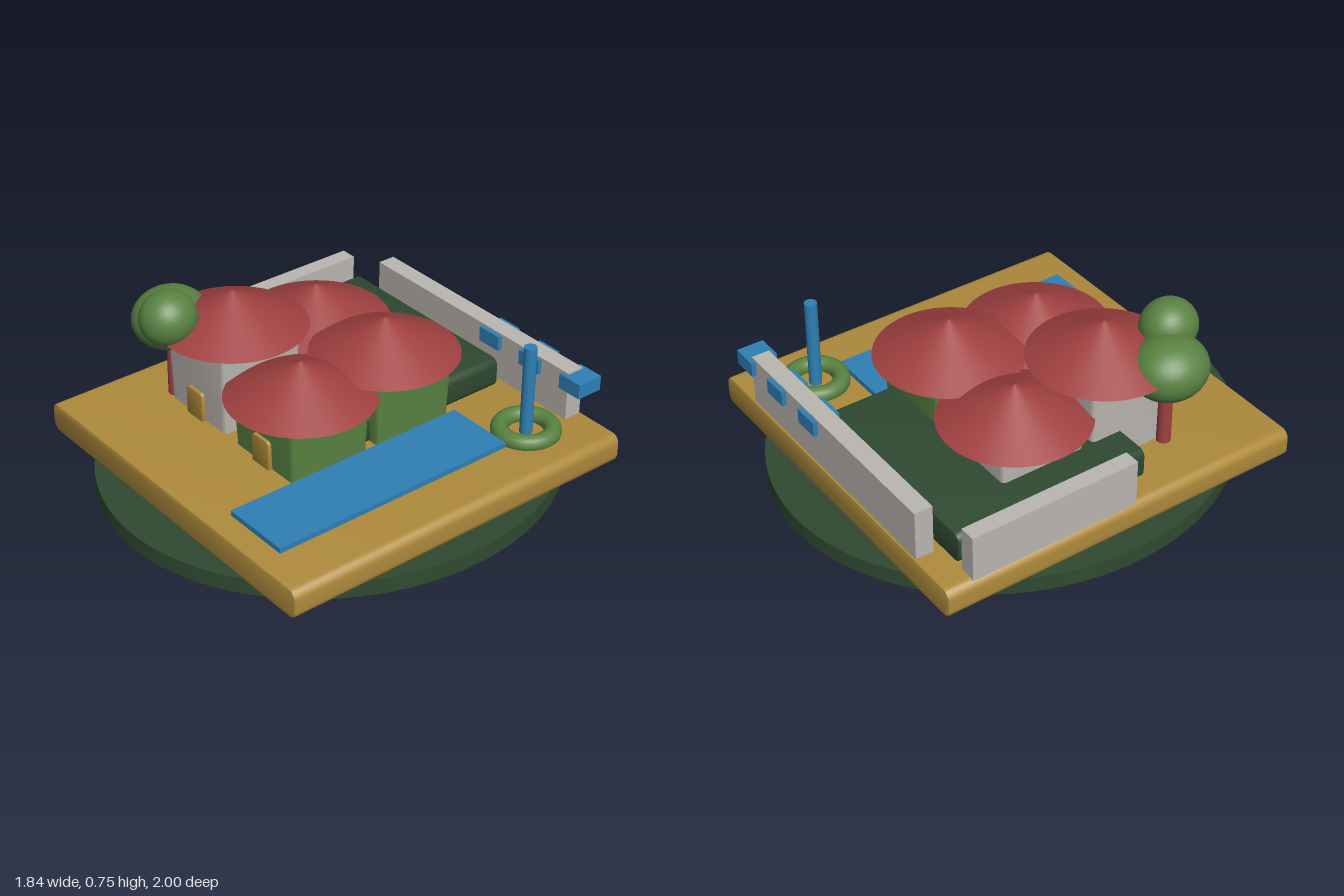
import * as THREE from 'three';
import { toCreasedNormals } from 'three/addons/utils/BufferGeometryUtils.js';

const paint = (name, color) => {
  const m = new THREE.MeshStandardMaterial({ color });
  m.name = name;
  return m;
};

// Rounded rectangle centred on the origin
function roundedRect(w, h, r) {
  const s = new THREE.Shape();
  const x = w / 2, y = h / 2;
  s.moveTo(-x + r, -y);
  s.absarc(x - r, -y + r, r, -Math.PI / 2, 0);
  s.absarc(x - r, y - r, r, 0, Math.PI / 2);
  s.absarc(-x + r, y - r, r, Math.PI / 2, Math.PI);
  s.absarc(-x + r, -y + r, r, Math.PI, Math.PI * 1.5);
  return s;
}

// Block with rounded long edges along z and a small bevel on both ends
function softBlock(w, h, d, r, bevel) {
  const g = new THREE.ExtrudeGeometry(roundedRect(w - 2 * bevel, h - 2 * bevel, r), {
    depth: d - 2 * bevel, bevelThickness: bevel, bevelSize: bevel, bevelSegments: 2, curveSegments: 6,
  });
  g.translate(0, 0, -d / 2 + bevel);
  return toCreasedNormals(g, 0.6);
}

// House wall: rounded square prism, a little wider at the eaves
function wallGeometry(size, height) {
  const g = new THREE.ExtrudeGeometry(roundedRect(size, size, 0.02), {
    depth: height, bevelEnabled: false, curveSegments: 4,
  });
  g.rotateX(-Math.PI / 2);
  const p = g.attributes.position;
  for (let i = 0; i < p.count; i++) {
    const k = 0.97 + 0.05 * (p.getY(i) / height);
    p.setX(i, p.getX(i) * k);
    p.setZ(i, p.getZ(i) * k);
  }
  return toCreasedNormals(g, 0.6);
}

export function createModel() {
  const model = new THREE.Group();
  model.name = 'courtyardVillage';

  const tan = paint('sandstone', 0xae8a3c);
  const red = paint('roofRed', 0xa04040);
  const green = paint('leafGreen', 0x598242);
  const dark = paint('darkGreen', 0x2f4a31);
  const blue = paint('waterBlue', 0x2e80b5);
  const grey = paint('wallGrey', 0xbab6b0);

  const add = (name, geometry, material, x, y, z, parent = model) => {
    const m = new THREE.Mesh(geometry, material);
    m.name = name;
    m.position.set(x, y, z);
    parent.add(m);
    return m;
  };
  // Box given by its limits on each axis
  const box = (name, mat, [x0, x1], [y0, y1], [z0, z1]) =>
    add(name, new THREE.BoxGeometry(x1 - x0, y1 - y0, z1 - z0), mat,
      (x0 + x1) / 2, (y0 + y1) / 2, (z0 + z1) / 2);

  const ground = 0.19;

  // Oval base and square terrace
  add('ovalBase', new THREE.CylinderGeometry(1, 1, 0.07, 96), dark, 0, 0.035, 0).scale.x = 0.92;
  add('terrace', softBlock(1.65, 0.13, 1.66, 0.03, 0.01), tan, 0, 0.125, 0);

  // Raised garden bed
  add('gardenBed', softBlock(0.935, 0.135, 0.88, 0.025, 0.008), dark, -0.238, 0.249, -0.262);

  // Boundary walls with blue niches
  box('leftWall', grey, [-0.81, -0.738], [0.18, 0.387], [-0.71, 0.055]);
  box('backWall', grey, [-0.595, 0.6], [0.18, 0.41], [-0.82, -0.74]);
  for (const x of [0.148, 0.388, 0.628]) {
    box('wallNiche', blue, [x - 0.058, x + 0.058], [0.337, 0.403], [-0.84, -0.72]);
  }

  // Pool
  box('pool', blue, [0.29, 0.6], [0.18, 0.213], [-0.41, 0.725]);

  // Fountain ring and column
  const ring = add('fountainRing', new THREE.TorusGeometry(0.109, 0.037, 16, 48), green, 0.565, 0.204, -0.553);
  ring.rotation.x = Math.PI / 2;
  add('fountainColumn', new THREE.CylinderGeometry(0.027, 0.027, 0.4, 24), blue, 0.565, 0.39, -0.553);

  // Four houses with conical roofs: x, z, eaves height, wall colour, door
  const houses = [
    ['frontLeftHouse', -0.36, 0.228, 0.557, grey, true],
    ['backLeftHouse', -0.36, -0.2, 0.435, grey, false],
    ['backRightHouse', 0.088, -0.2, 0.48, green, false],
    ['frontRightHouse', 0.088, 0.228, 0.437, green, true],
  ];
  for (const [name, x, z, eaves, wall, hasDoor] of houses) {
    const house = new THREE.Group();
    house.name = name;
    house.position.set(x, 0, z);
    model.add(house);
    add('walls', wallGeometry(0.385, eaves - ground + 0.01), wall, 0, ground - 0.005, 0, house);
    add('roof', new THREE.ConeGeometry(0.312, 0.158, 48), red, 0, eaves + 0.079, 0, house);
    if (hasDoor) {
      add('door', softBlock(0.108, 0.14, 0.06, 0.012, 0.004), tan, 0, 0.25, 0.176, house);
    }
  }

  // Tree
  const tree = new THREE.Group();
  tree.name = 'tree';
  model.add(tree);
  add('trunk', new THREE.CylinderGeometry(0.028, 0.03, 0.36, 20), red, -0.568, 0.36, 0.385, tree);
  const leaf = new THREE.SphereGeometry(1, 32, 20);
  add('lowerFoliage', leaf, green, -0.575, 0.55, 0.388, tree).scale.set(0.152, 0.13, 0.167);
  add('upperFoliage', leaf, green, -0.447, 0.638, 0.483, tree).scale.set(0.114, 0.117, 0.125);

  return model;
}
